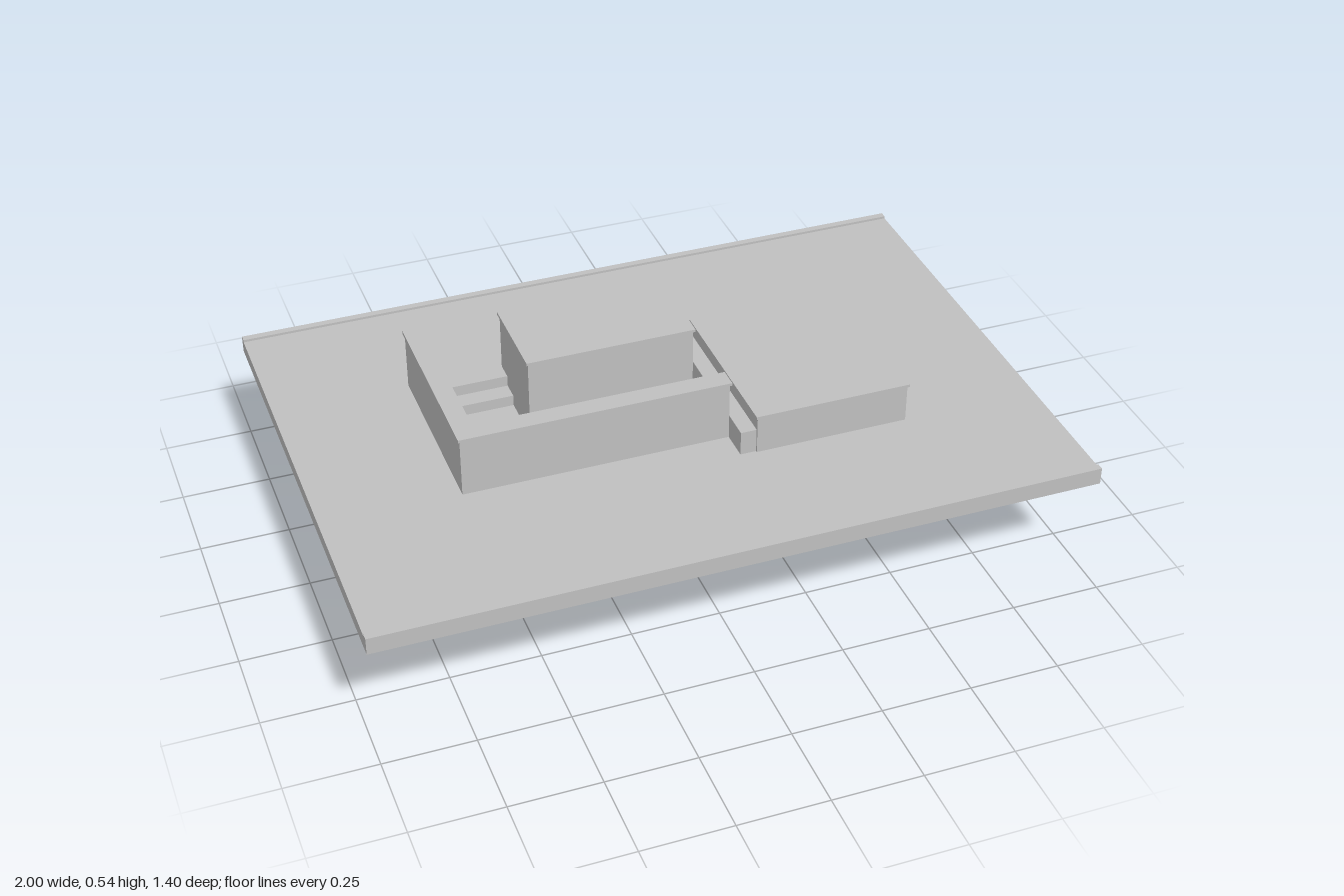
import * as THREE from 'three';

export function createModel() {
  const model = new THREE.Group();
  const concrete = new THREE.MeshStandardMaterial({ color: 0xbfbfbf });
  concrete.name = 'concrete grey';

  const add = (name, geometry) => {
    const mesh = new THREE.Mesh(geometry, concrete);
    mesh.name = name;
    model.add(mesh);
    return mesh;
  };

  // Box given by its lower and upper corners
  const block = (name, x0, x1, y0, y1, z0, z1) => {
    const mesh = add(name, new THREE.BoxGeometry(x1 - x0, y1 - y0, z1 - z0));
    mesh.position.set((x0 + x1) / 2, (y0 + y1) / 2, (z0 + z1) / 2);
  };

  // Upright prism over a plan of [x, z] corners
  const points = (plan) => plan.map(([x, z]) => new THREE.Vector2(x, -z));
  const prism = (name, plan, y0, y1, hole) => {
    const shape = new THREE.Shape(points(plan));
    if (hole) shape.holes.push(new THREE.Path(points(hole)));
    const geometry = new THREE.ExtrudeGeometry(shape, { depth: y1 - y0, bevelEnabled: false });
    geometry.rotateX(-Math.PI / 2);
    geometry.translate(0, y0, 0);
    add(name, geometry);
  };

  // Ground slab, open over the stairwell, with low lips front and back
  prism('groundSlab', [[-1, -0.7], [1, -0.7], [1, 0.7], [-1, 0.7]], 0.318, 0.36,
    [[-0.6, -0.312], [-0.325, -0.312], [-0.325, -0.075], [0.13, -0.075], [0.13, 0.2], [-0.6, 0.2]]);
  block('frontLip', -1, 1, 0.36, 0.367, 0.68, 0.7);
  block('backLip', -1, 1, 0.36, 0.367, -0.7, -0.68);

  // L-shaped stairwell walls; o grows the plan for the coping
  const outerPlan = (o) => [
    [-0.616 - o, -0.312 - o], [-0.572 + o, -0.312 - o], [-0.572 + o, 0.174 - o],
    [0.13 + o, 0.174 - o], [0.13 + o, 0.22 + o], [-0.616 - o, 0.22 + o],
  ];
  const innerPlan = (o) => [
    [-0.345 - o, -0.312 - o], [-0.303 + o, -0.312 - o], [-0.303 + o, -0.094 - o],
    [0.13 + o, -0.094 - o], [0.13 + o, -0.054 + o], [-0.345 - o, -0.054 + o],
  ];
  for (const [name, plan] of [['outerWall', outerPlan], ['innerWall', innerPlan]]) {
    prism(name, plan(0), 0, 0.53, null);
    prism(name + 'Coping', plan(0.005), 0.53, 0.538, null);
  }

  // Two flights of steps down, turning at a landing
  const rise = 0.032, tread = 0.0525;
  for (let i = 0; i < 5; i++) {
    const top = 0.36 - i * rise;
    const z = -0.312 + i * 0.052;
    block('upperStep', -0.572, -0.345, 0.19, top, z, z + 0.052);
  }
  block('landing', -0.572, -0.295, 0, 0.2, -0.054, 0.174);
  for (let i = 0; i < 4; i++) {
    const x = -0.295 + i * tread;
    block('lowerStep', x, x + tread, 0.04, 0.2 - (i + 1) * rise, -0.054, 0.174);
  }
  block('lowerFloor', -0.085, 0.13, 0, 0.04, -0.054, 0.174);

  // Room with a thin roof edge, and the joint to the stairwell
  block('room', 0.175, 0.61, 0, 0.47, -0.18, 0.31);
  block('roofEdge', 0.17, 0.615, 0.47, 0.478, -0.185, 0.315);
  block('joint', 0.13, 0.175, 0.038, 0.43, -0.18, 0.305);

  return model;
}
